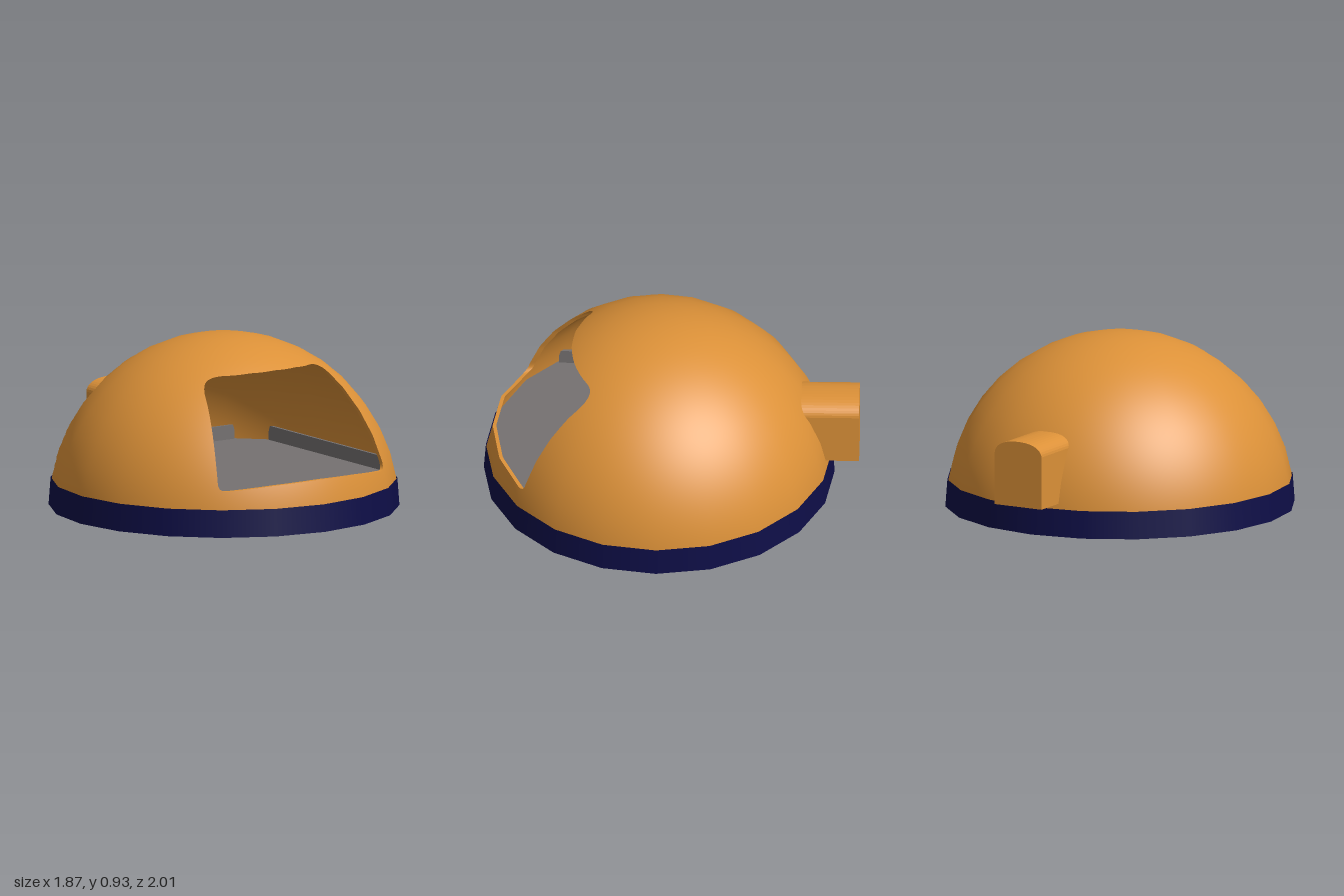
import * as THREE from 'three';

const SIDES = 20, STEP = Math.PI * 2 / SIDES;

const mat = (name, color, side = THREE.FrontSide) => {
  const m = new THREE.MeshStandardMaterial({ color, side });
  m.name = name;
  return m;
};

// Radius of a 20 x 20 faceted sphere of radius R along unit direction d
function facetRadius(d, R) {
  const az = Math.atan2(d.x, d.z), pol = Math.acos(THREE.MathUtils.clamp(d.y, -1, 1));
  const a = (Math.floor(az / STEP) + 0.5) * STEP;
  const p = (Math.floor(pol / (STEP / 2))) * STEP / 2, q = p + STEP / 2;
  const k = Math.cos(STEP / 2);
  const r0 = Math.sin(p) * k, y0 = Math.cos(p), r1 = Math.sin(q) * k, y1 = Math.cos(q);
  const n = new THREE.Vector3(Math.sin(a) * (y0 - y1), r1 - r0, Math.cos(a) * (y0 - y1));
  return R * (n.x * Math.sin(a) * r0 + n.y * y0 + n.z * Math.cos(a) * r0) / n.dot(d);
}

// Front outline of the window, anticlockwise from the bottom centre
function windowOutline(n) {
  const s = new THREE.Shape();
  s.moveTo(0, 0.275);
  s.quadraticCurveTo(0.25, 0.274, 0.49, 0.243);
  s.quadraticCurveTo(0.54, 0.235, 0.535, 0.28);
  s.quadraticCurveTo(0.51, 0.5, 0.43, 0.69);
  s.quadraticCurveTo(0.395, 0.78, 0.3, 0.788);
  s.quadraticCurveTo(0.15, 0.8, 0, 0.8);
  s.quadraticCurveTo(-0.15, 0.8, -0.3, 0.788);
  s.quadraticCurveTo(-0.395, 0.78, -0.43, 0.69);
  s.quadraticCurveTo(-0.51, 0.5, -0.535, 0.28);
  s.quadraticCurveTo(-0.54, 0.235, -0.49, 0.243);
  s.quadraticCurveTo(-0.25, 0.274, 0, 0.275);
  return s.getSpacedPoints(n);
}

// Grid of rows[i][j] turned into a surface; normals optional
function surface(rows, flip, radial) {
  const pos = [], nor = [], idx = [], w = rows[0].length;
  rows.forEach((row, i) => row.forEach((p, j) => {
    pos.push(p.x, p.y, p.z);
    const n = p.clone().normalize().multiplyScalar(flip ? -1 : 1);
    nor.push(n.x, n.y, n.z);
    if (i === rows.length - 1 || j === w - 1) return;
    const a = i * w + j, b = a + 1, c = a + w, d = c + 1;
    if (flip) idx.push(a, c, b, b, c, d);
    else idx.push(a, b, c, b, d, c);
  }));
  const g = new THREE.BufferGeometry();
  g.setAttribute('position', new THREE.Float32BufferAttribute(pos, 3));
  g.setIndex(idx);
  if (radial) g.setAttribute('normal', new THREE.Float32BufferAttribute(nor, 3));
  else g.computeVertexNormals();
  return g;
}

// Great-circle rows running from the window edge down to the base
function domeRows(R, outline, m) {
  const c = new THREE.Vector3(0, 0.52, Math.sqrt(R * R - 0.52 * 0.52)).normalize();
  const S = R * 0.992;
  return outline.map(({ x, y }) => {
    const w = new THREE.Vector3(x, y, Math.sqrt(S * S - x * x - y * y)).normalize();
    const t0 = Math.acos(w.dot(c));
    const e = w.clone().addScaledVector(c, -w.dot(c)).normalize();
    const t1 = Math.atan2(e.y, c.y) + Math.PI / 2;
    return Array.from({ length: m + 1 }, (_, j) => {
      const t = t0 + (t1 - t0) * j / m;
      const d = c.clone().multiplyScalar(Math.cos(t)).addScaledVector(e, Math.sin(t)).normalize();
      d.y = Math.max(d.y, 0);
      return d.multiplyScalar(facetRadius(d, R));
    });
  });
}

export function createModel() {
  const orange = mat('orange shell', 0xdc9138, THREE.DoubleSide);
  const navy = mat('navy band', 0x0e0e47, THREE.DoubleSide);
  const grey = mat('grey interior', 0x757171);

  const model = new THREE.Group();
  model.name = 'domeShelter';
  const dome = new THREE.Group();
  dome.name = 'dome';
  dome.position.z = 0.07;
  model.add(dome);
  const add = (parent, name, geo, material, x = 0, y = 0, z = 0) => {
    const mesh = new THREE.Mesh(geo, material);
    mesh.name = name;
    mesh.position.set(x, y, z);
    parent.add(mesh);
    return mesh;
  };

  // Double-walled dome with an open window
  const outline = windowOutline(180);
  const outer = domeRows(0.933, outline, 64), inner = domeRows(0.914, outline, 64);
  add(dome, 'outerShell', surface(outer, false, true), orange);
  add(dome, 'innerShell', surface(inner, true, true), orange);
  add(dome, 'windowLip', surface(outer.map((r, i) => [r[0], inner[i][0]]), true, false), orange);

  // Navy base band and its bottom rim
  add(dome, 'baseBand', new THREE.CylinderGeometry(0.926, 0.937, 0.148, SIDES, 1, true), navy, 0, 0.074, 0);
  add(dome, 'baseRim', new THREE.RingGeometry(0.914, 0.937, SIDES).rotateX(Math.PI / 2), navy);

  // Floor slab with a round drain hole
  const disc = new THREE.Shape(Array.from({ length: SIDES }, (_, i) =>
    new THREE.Vector2(Math.cos(i * STEP) * 0.9, Math.sin(i * STEP) * 0.9)));
  disc.holes.push(new THREE.Path().absarc(-0.44, 0.57, 0.128, 0, Math.PI * 2, true));
  const slab = new THREE.ExtrudeGeometry(disc, { depth: 0.038, bevelEnabled: false, curveSegments: 24 });
  add(dome, 'floor', slab.rotateX(-Math.PI / 2), grey, 0, 0.15, 0);

  // Low walls standing on the floor at both sides and the back
  for (const s of [-1, 1]) {
    add(dome, 'sideWall', new THREE.BoxGeometry(0.015, 0.08, 1.1), grey, s * 0.688, 0.225, 0);
  }
  add(dome, 'backWall', new THREE.BoxGeometry(1.1, 0.08, 0.015), grey, 0, 0.225, -0.688);

  // Arched duct at the back with a grey inner door
  const arch = new THREE.Shape();
  arch.moveTo(-0.145, 0.175);
  arch.lineTo(0.145, 0.175);
  arch.lineTo(0.145, 0.46);
  arch.bezierCurveTo(0.14, 0.505, 0.085, 0.53, 0, 0.53);
  arch.bezierCurveTo(-0.085, 0.53, -0.14, 0.505, -0.145, 0.46);
  arch.closePath();
  const extrude = depth => new THREE.ExtrudeGeometry(arch, { depth, bevelEnabled: false, curveSegments: 10 });
  add(model, 'rearDuct', extrude(0.325), orange, 0, 0, -1);
  add(model, 'innerDoor', extrude(0.006), grey, 0, 0, -0.675);

  return model;
}
